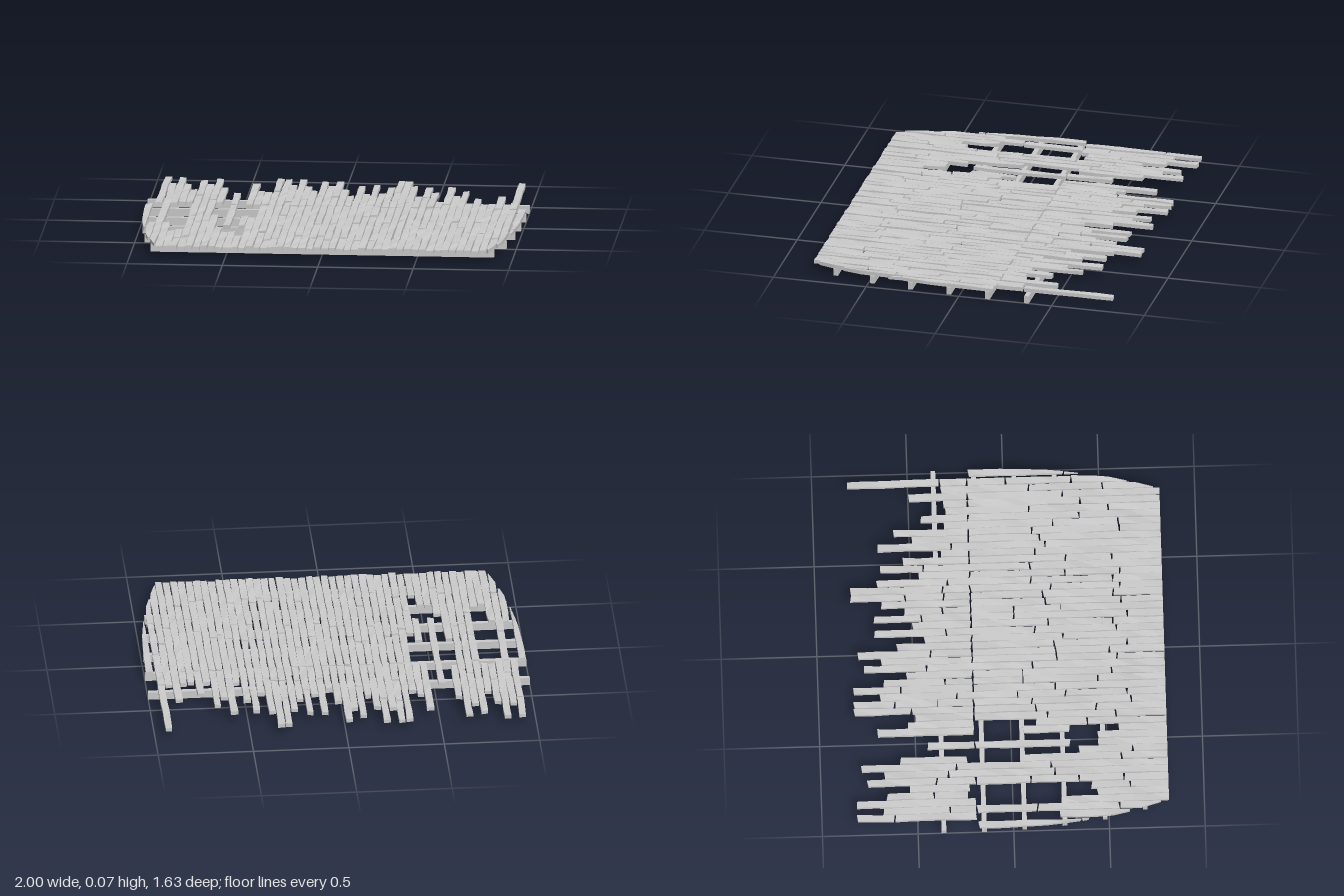
import * as THREE from 'three';

const FRONT = 0.815, PITCH = 0.0395, FIRST = -0.929;
const material = new THREE.MeshStandardMaterial({ color: 0xcccccc, flatShading: true });

// Small seeded generator for the weathering
let seed = 11;
function rand(a = 0, b = 1) {
  seed = (seed * 16807) % 2147483647;
  return a + (b - a) * (seed / 2147483647);
}

// Half width of the deck: straight at the back, tapering toward the front
const OUTLINE = [[-0.82, 1], [-0.18, 1], [0.2, 0.985], [0.45, 0.955], [0.6, 0.925], [FRONT, 0.865]];
function halfWidth(z) {
  for (let i = 1; i < OUTLINE.length; i++) {
    const [z0, w0] = OUTLINE[i - 1], [z1, w1] = OUTLINE[i];
    if (z <= z1) return w0 + (w1 - w0) * (z - z0) / (z1 - z0);
  }
  return OUTLINE[OUTLINE.length - 1][1];
}

// One worn plank from z0 to z1, with ragged edges, trimmed to the deck outline
function plank(x, z0, z1) {
  const inner = Math.abs(x) - 0.019;
  while (z1 > z0 && halfWidth(z1) < inner + 0.003) z1 -= 0.01;
  const length = z1 - z0;
  if (length < 0.03) return null;
  const rows = Math.max(2, Math.round(length / 0.09));
  const width = rand(0.036, 0.0405), thick = rand(0.018, 0.023);
  const geo = new THREE.BoxGeometry(width, thick, length, 1, 1, rows);
  const wear = Array.from({ length: rows + 1 }, () => ({
    left: rand(-0.004, 0.001), right: rand(-0.004, 0.001),
    topL: rand(-0.003, 0.002), topR: rand(-0.003, 0.002),
  }));
  const y = rand(0.046, 0.053), tilt = rand(-0.004, 0.004), yaw = rand(-0.003, 0.003);
  const skew = rand(-0.004, 0.004);
  const p = geo.attributes.position;
  for (let i = 0; i < p.count; i++) {
    const side = Math.sign(p.getX(i)), up = p.getY(i) > 0;
    const t = p.getZ(i) / length + 0.5, w = wear[Math.round(t * rows)];
    let z = z0 + t * length;
    if (t < 0.01) z += 0.004 + side * skew;
    if (t > 0.99) z -= z1 >= FRONT ? 0 : 0.004 + side * skew;
    let px = x + p.getX(i) + side * (side < 0 ? w.left : w.right) + yaw * (t - 0.5);
    const limit = halfWidth(z);
    px = THREE.MathUtils.clamp(px, -limit, limit);
    const py = y + p.getY(i) + tilt * (t - 0.5) + (up ? (side < 0 ? w.topL : w.topR) : 0);
    p.setXYZ(i, px, py, z);
  }
  geo.computeVertexNormals();
  const mesh = new THREE.Mesh(geo, material);
  mesh.name = 'plank';
  return mesh;
}

// A column of planks laid end to end between two z values
function layRun(group, x, z0, z1) {
  let z = z0;
  while (z < z1 - 0.001) {
    let next = z + rand(0.2, 0.6);
    // many boards share a butt joint over the same beam
    if (z < -0.3 && next > -0.25 && next < 0.1) next = -0.19;
    if (z1 - next < 0.14) next = z1;
    const mesh = plank(x, z, next);
    if (mesh) group.add(mesh);
    z = next;
  }
}

// Broken back end of each column, from -x to +x
const BACK_ENDS = [
  -0.82, -0.68, -0.82, -0.66, -0.54, -0.76, -0.67, -0.79, -0.585, 0.35, -0.44, -0.19,
  -0.7, -0.54, -0.5, -0.82, -0.82, -0.68, -0.82, -0.66, -0.54, -0.76, -0.67, -0.79,
  -0.585, -0.44, -0.7, -0.5, -0.7, -0.54, -0.66, -0.82, -0.82, -0.68, -0.46, -0.66,
  -0.54, -0.34, -0.67, -0.49, -0.585, -0.32, -0.44, -0.31, -0.32, -0.5, -0.33, -0.82,
];

// Missing stretches [from, to] by column
const GAPS = {
  0: [[-0.19, 0.24]],
  2: [[-0.19, 0.25]],
  3: [[-0.23, 0.44]],
  4: [[-0.22, 0.41]],
  8: [[-0.23, 0.06]],
  10: [[0.31, 0.45]],
  11: [[-0.19, 0.45]],
  12: [[-0.19, 0.06], [0.31, 0.56]],
  13: [[-0.19, 0.13]],
};

export function createModel() {
  const model = new THREE.Group();
  model.name = 'brokenDeck';

  // Cross beams under the deck
  const beams = new THREE.Group();
  beams.name = 'crossBeams';
  for (let i = 0; i < 6; i++) {
    const z = 0.69 - i * 0.211;
    const beam = new THREE.Mesh(new THREE.BoxGeometry(halfWidth(z) * 2, 0.041, 0.025), material);
    beam.name = 'crossBeam';
    beam.position.set(0, 0.0205, z);
    beams.add(beam);
  }
  model.add(beams);

  // Plank columns with their broken ends and holes
  const deck = new THREE.Group();
  deck.name = 'deckPlanks';
  BACK_ENDS.forEach((back, i) => {
    const x = FIRST + i * PITCH;
    let start = back === -0.82 ? -0.819 : back;
    for (const [from, to] of GAPS[i] || []) {
      if (from > start) layRun(deck, x, start, from);
      start = to;
    }
    layRun(deck, x, start, FRONT);
  });

  // Short outer boards along both sides
  for (const side of [-1, 1]) layRun(deck, side * 0.977, -0.185, FRONT);
  model.add(deck);
  return model;
}
